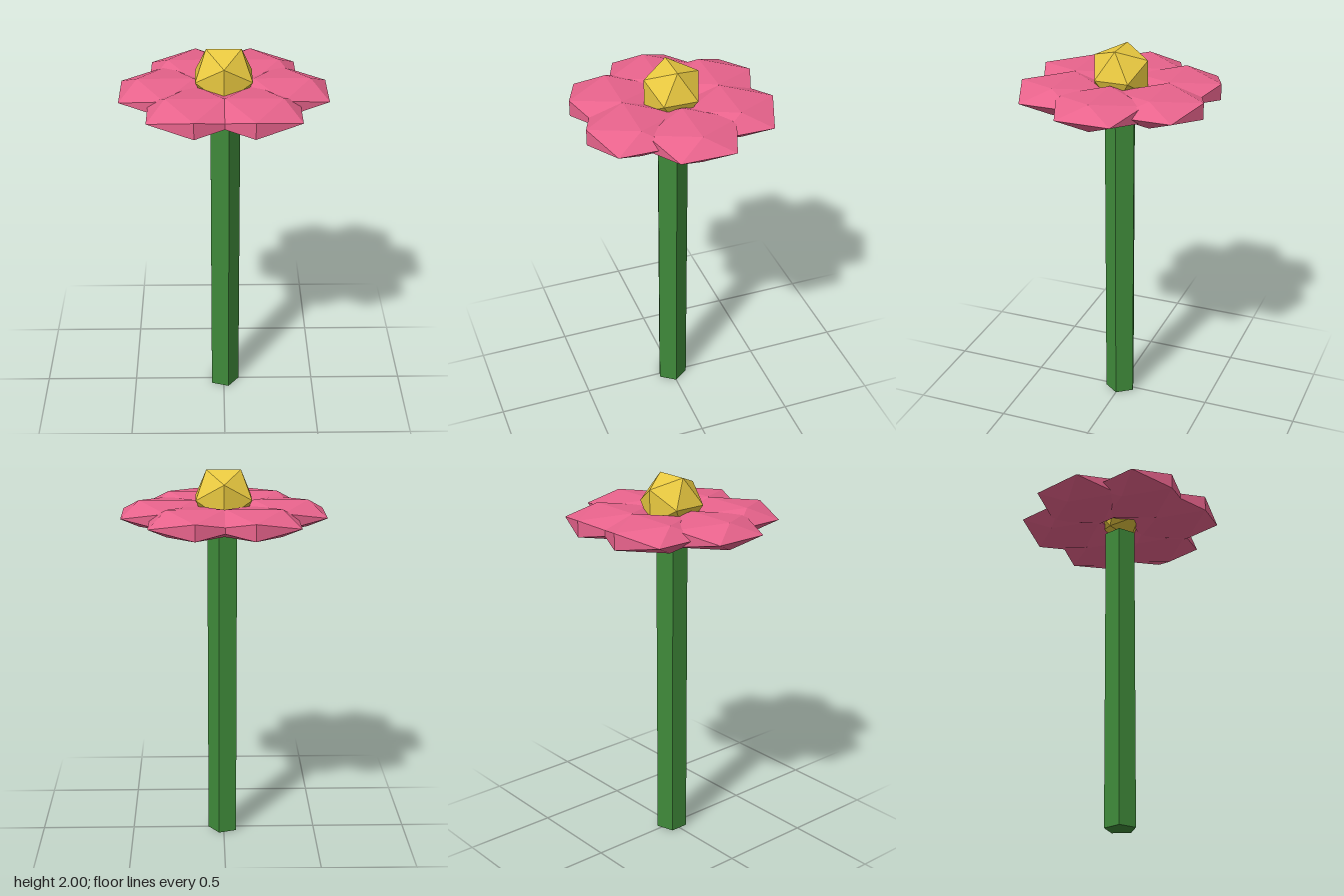
import * as THREE from 'three';

const flat = (color) => new THREE.MeshStandardMaterial({ color, flatShading: true });

export function createModel() {
  const flower = new THREE.Group();
  flower.name = 'flower';

  const add = (name, geometry, material, x, y, z) => {
    const mesh = new THREE.Mesh(geometry, material);
    mesh.name = name;
    mesh.position.set(x, y, z);
    flower.add(mesh);
    return mesh;
  };

  // Five-sided stem with one corner towards +x
  const stemHeight = 1.69;
  const stemGeometry = new THREE.CylinderGeometry(0.084, 0.084, stemHeight, 5).rotateY(Math.PI / 2);
  add('stem', stemGeometry, flat(0x3f8a3a), 0, stemHeight / 2, 0);

  // Ring of six flattened petals, all facing the same way
  const petalGeometry = new THREE.IcosahedronGeometry(0.27, 0).scale(1, 0.3, 1);
  const petalMaterial = flat(0xe8638c);
  const ringRadius = 0.293;
  for (let i = 0; i < 6; i++) {
    const a = (i / 6) * Math.PI * 2;
    add(`petal${i + 1}`, petalGeometry, petalMaterial,
      Math.cos(a) * ringRadius, 1.775, Math.sin(a) * ringRadius);
  }

  // Faceted flower centre
  add('flowerCentre', new THREE.IcosahedronGeometry(0.168, 0), flat(0xe8c840), 0, 1.857, 0);

  return flower;
}
